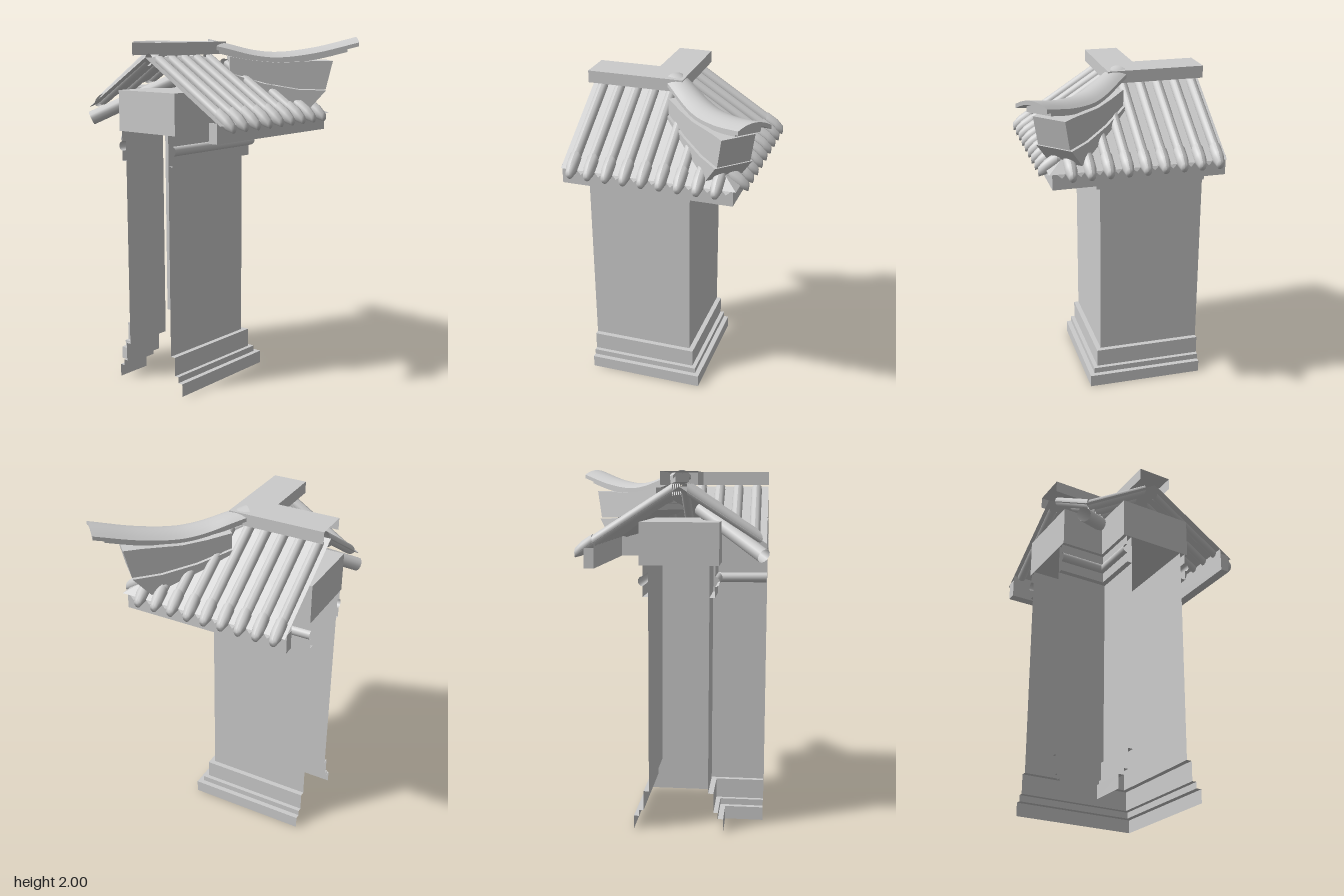
import * as THREE from 'three';
import { mergeGeometries, toCreasedNormals } from 'three/addons/utils/BufferGeometryUtils.js';

const mat = new THREE.MeshStandardMaterial({ color: 0xcccccc, side: THREE.DoubleSide });
const XC = -0.105, ZC = 0.115;  // where the two wall centrelines cross
const END = -0.465;             // open end of each leg
const SLOPE = 0.636;            // roof fall
const PITCH = 0.1035;           // tile spacing
const panY = d => 1.895 - SLOPE * Math.abs(d);

// d = signed distance from the centreline (+ outside), lat = distance along the leg toward the corner
const place = (leg, d, y, lat) => leg ? [XC + lat, y, ZC - d] : [XC + d, y, ZC - lat];

function mesh(name, geo) {
  const m = new THREE.Mesh(geo, mat);
  m.name = name;
  return m;
}

// Sweeps a [d, y] profile round the L, mitred at the corner, on one side of the wall
function strip(profile, side) {
  const pos = [], idx = [];
  for (const leg of [0, 1]) {
    const base = pos.length / 3;
    profile.forEach(([d, y], i) => {
      pos.push(...place(leg, d * side, y, END), ...place(leg, d * side, y, d * side));
      if (i) {
        const a = base + 2 * i - 2;
        idx.push(a, a + 1, a + 2, a + 1, a + 3, a + 2);
      }
    });
  }
  const g = new THREE.BufferGeometry();
  g.setAttribute('position', new THREE.Float32BufferAttribute(pos, 3));
  g.setIndex(idx);
  return toCreasedNormals(g, 0.6);
}
const bothSides = profile => mergeGeometries([strip(profile, 1), strip(profile, -1)]);

// Round tile down the slope; rings are [d, radius], mitre(d, lat) trims them at the hip or valley
function roundTile(leg, lat, rings, mitre) {
  const n = 12;
  const g = new THREE.CylinderGeometry(1, 1, 1, n, rings.length - 1, true);
  const p = g.attributes.position;
  for (let i = 0; i < p.count; i++) {
    const [d0, r] = rings[Math.floor(i / (n + 1))];
    const l = lat + p.getX(i) * r;
    const d = mitre(d0, l);
    const y = panY(d) + 0.01 + p.getZ(i) * r * 1.18;
    p.setXYZ(i, ...place(leg, d, y, l));
  }
  g.computeVertexNormals();
  return g;
}

// Pointed drip tile hanging between two round tiles
function dripTile(leg, lat) {
  const g = new THREE.BufferGeometry();
  const pts = [[0.52, panY(0.52), lat - 0.04], [0.52, panY(0.52), lat + 0.04], [0.535, 1.53, lat]];
  g.setAttribute('position', new THREE.Float32BufferAttribute(pts.flatMap(q => place(leg, ...q)), 3));
  g.computeVertexNormals();
  return g;
}

// L-shaped solid with half width h
function lSolid(h, y0, y1) {
  const x0 = XC + END, z1 = ZC - END;
  const pts = [[x0, ZC - h], [XC + h, ZC - h], [XC + h, z1], [XC - h, z1], [XC - h, ZC + h], [x0, ZC + h]];
  const s = new THREE.Shape(pts.map(([x, z]) => new THREE.Vector2(x, -z)));
  return new THREE.ExtrudeGeometry(s, { depth: y1 - y0, bevelEnabled: false })
    .rotateX(-Math.PI / 2).translate(0, y0, 0);
}

// Upturned corner ridge, modelled along x and turned onto the diagonal
function cornerRidge() {
  const hip = new THREE.Group();
  hip.name = 'cornerRidge';
  hip.rotation.y = Math.PI / 4;
  const crest = new THREE.CatmullRomCurve3(
    [[-0.117, 1.99], [0, 1.962], [0.14, 1.928], [0.28, 1.915], [0.5, 1.94], [0.753, 2.0]]
      .map(([u, y]) => new THREE.Vector3(u, y, 0)));

  // curved, arched bars following the crest
  const bar = (name, t1, w0, w1, drop, thick, arch) => {
    const g = new THREE.BoxGeometry(1, 1, 1, 24, 1, 8);
    const p = g.attributes.position;
    for (let i = 0; i < p.count; i++) {
      const t = (p.getX(i) + 0.5) * t1, w = p.getZ(i) * 2;
      const c = crest.getPoint(t);
      const y = c.y - drop - arch * w * w - (p.getY(i) < 0 ? thick : 0);
      p.setXYZ(i, c.x, y, w * (w0 + (w1 - w0) * t));
    }
    g.computeVertexNormals();
    hip.add(mesh(name, g));
  };
  bar('ridgeCap', 1, 0.067, 0.095, 0, 0.022, 0.03);
  bar('ridgeCapMoulding', 0.95, 0.05, 0.075, 0.024, 0.045, 0);

  // stacked fins filling the gap between cap and roof
  const fin = (name, h, pts) => {
    const s = new THREE.Shape(pts.map(q => new THREE.Vector2(...q)));
    const g = new THREE.ExtrudeGeometry(s, { depth: 2 * h, bevelEnabled: false });
    hip.add(mesh(name, g.translate(0, 0, -h)));
  };
  fin('upperFin', 0.1, [[0, 1.8], [0.2, 1.74], [0.4, 1.705], [0.56, 1.7], [0.6, 1.865],
    [0.5, 1.865], [0.28, 1.855], [0.14, 1.868], [0, 1.89]]);
  fin('lowerFin', 0.112, [[0, 1.76], [0.46, 1.585], [0.56, 1.695], [0.4, 1.7], [0.2, 1.735], [0, 1.795]]);
  return hip;
}

export function createModel() {
  const model = new THREE.Group();
  model.name = 'cornerWall';

  // Wall with stepped base, open at its ends
  model.add(mesh('wall', bothSides([
    [0.25, 0], [0.25, 0.075], [0.22, 0.075], [0.22, 0.11], [0.195, 0.11],
    [0.195, 0.22], [0.165, 0.22], [0.165, 1.48]])));

  // Upper moulding with a half-round roll
  const roll = Array.from({ length: 9 }, (_, i) => {
    const a = -Math.PI / 2 + i * Math.PI / 8;
    return [0.195 + 0.025 * Math.cos(a), 1.395 + 0.027 * Math.sin(a)];
  });
  model.add(mesh('moulding', bothSides([[0.165, 1.31], [0.195, 1.31], ...roll, [0.195, 1.48]])));
  model.add(mesh('frieze', lSolid(0.215, 1.48, 1.71)));

  // Roof slopes and outer eaves board
  model.add(mesh('outerSlope', strip([[0, panY(0)], [0.535, panY(0.535)]], 1)));
  model.add(mesh('innerSlope', strip([[0, panY(0)], [-END, panY(END)]], -1)));
  model.add(mesh('eavesBoard', strip(
    [[0.46, panY(0.46)], [0.46, 1.46], [0.515, 1.46], [0.515, panY(0.515)]], 1)));
  for (const leg of [0, 1]) {
    const cap = new THREE.BoxGeometry(leg ? 0.002 : 0.055, 0.11, leg ? 0.055 : 0.002);
    cap.translate(...place(leg, 0.4875, 1.515, END));
    model.add(mesh('eavesBoardEnd', cap));
  }

  // Round tiles, trimmed at the outer hip and the inner valley
  const outer = [], inner = [], drips = [];
  for (const leg of [0, 1]) {
    for (let k = -4; k <= 4; k++) {
      const lat = k * PITCH + (leg ? 0 : 0.015);
      outer.push(roundTile(leg, lat,
        [[0.04, 0.029], [0.475, 0.029], [0.475, 0.034], [0.535, 0.034], [0.572, 0.022], [0.575, 0]],
        (d, l) => Math.max(d, l)));
      if (lat < -0.05) {
        inner.push(roundTile(leg, lat, [[-0.04, 0.029], [END, 0.029]], (d, l) => Math.max(d, l)));
      }
      drips.push(dripTile(leg, lat + PITCH / 2));
    }
  }
  model.add(mesh('outerTiles', mergeGeometries(outer)));
  model.add(mesh('innerTiles', mergeGeometries(inner)));
  model.add(mesh('dripTiles', mergeGeometries(drips)));

  // Gutter pipe under the inner valley
  const valley = new THREE.LineCurve3(
    new THREE.Vector3(-0.57, 1.535, 0.565), new THREE.Vector3(-0.2, 1.77, 0.2));
  model.add(mesh('valleyGutter', new THREE.TubeGeometry(valley, 1, 0.04, 12)));

  // Flat main ridge
  model.add(mesh('mainRidge', bothSides([[0, 1.975], [0.1, 1.975], [0.1, 1.905]])));
  model.add(cornerRidge());
  return model;
}
